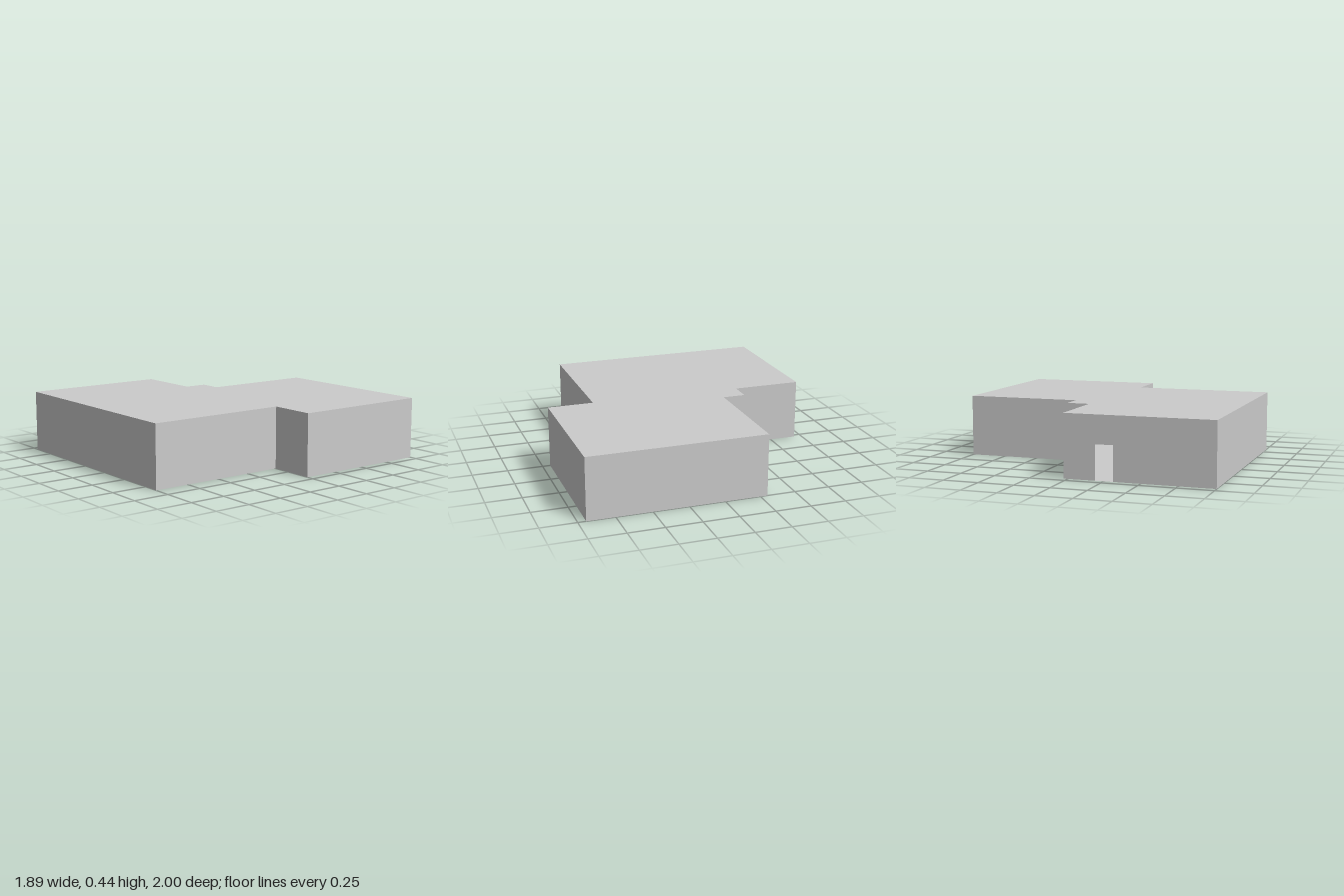
import * as THREE from 'three';

const HEIGHT = 0.435;

// Footprint corners as [x, z], running so that every wall faces outward
const FOOTPRINT = [
  [-0.945, 1], [0.62, 1], [0.62, 0], [0.945, 0], [0.945, -1],
  [-0.3, -1], [-0.3, -0.19], [-0.46, -0.19], [-0.46, -0.03], [-0.945, -0.03],
];

// Doorway in the last wall, measured along it from its back corner
const DOOR = { start: 0.22, end: 0.345, height: 0.24 };

const toShape = (points) => new THREE.Shape(points.map(([x, y]) => new THREE.Vector2(x, y)));

export function createModel() {
  const model = new THREE.Group();
  model.name = 'building';
  const material = new THREE.MeshStandardMaterial({
    color: 0xcccccc, flatShading: true, side: THREE.DoubleSide,
  });

  const addPart = (name, geometry) => {
    const mesh = new THREE.Mesh(geometry, material);
    mesh.name = name;
    model.add(mesh);
    return mesh;
  };

  // Flat roof and floor share the footprint
  const plan = toShape(FOOTPRINT.map(([x, z]) => [x, -z]));
  addPart('roof', new THREE.ShapeGeometry(plan).rotateX(-Math.PI / 2).translate(0, HEIGHT, 0));
  addPart('floor', new THREE.ShapeGeometry(plan).rotateX(-Math.PI / 2));

  // Thin outer walls, the last one with an open doorway
  FOOTPRINT.forEach(([x, z], i) => {
    const last = i === FOOTPRINT.length - 1;
    const [nextX, nextZ] = FOOTPRINT[(i + 1) % FOOTPRINT.length];
    const length = Math.hypot(nextX - x, nextZ - z);
    const doorway = last
      ? [[DOOR.start, 0], [DOOR.start, DOOR.height], [DOOR.end, DOOR.height], [DOOR.end, 0]]
      : [];
    const outline = toShape([[0, 0], ...doorway, [length, 0], [length, HEIGHT], [0, HEIGHT]]);
    const wall = addPart(last ? 'doorWall' : `wall${i + 1}`, new THREE.ShapeGeometry(outline));
    wall.position.set(x, 0, z);
    wall.rotation.y = Math.atan2(z - nextZ, nextX - x);
  });

  return model;
}
